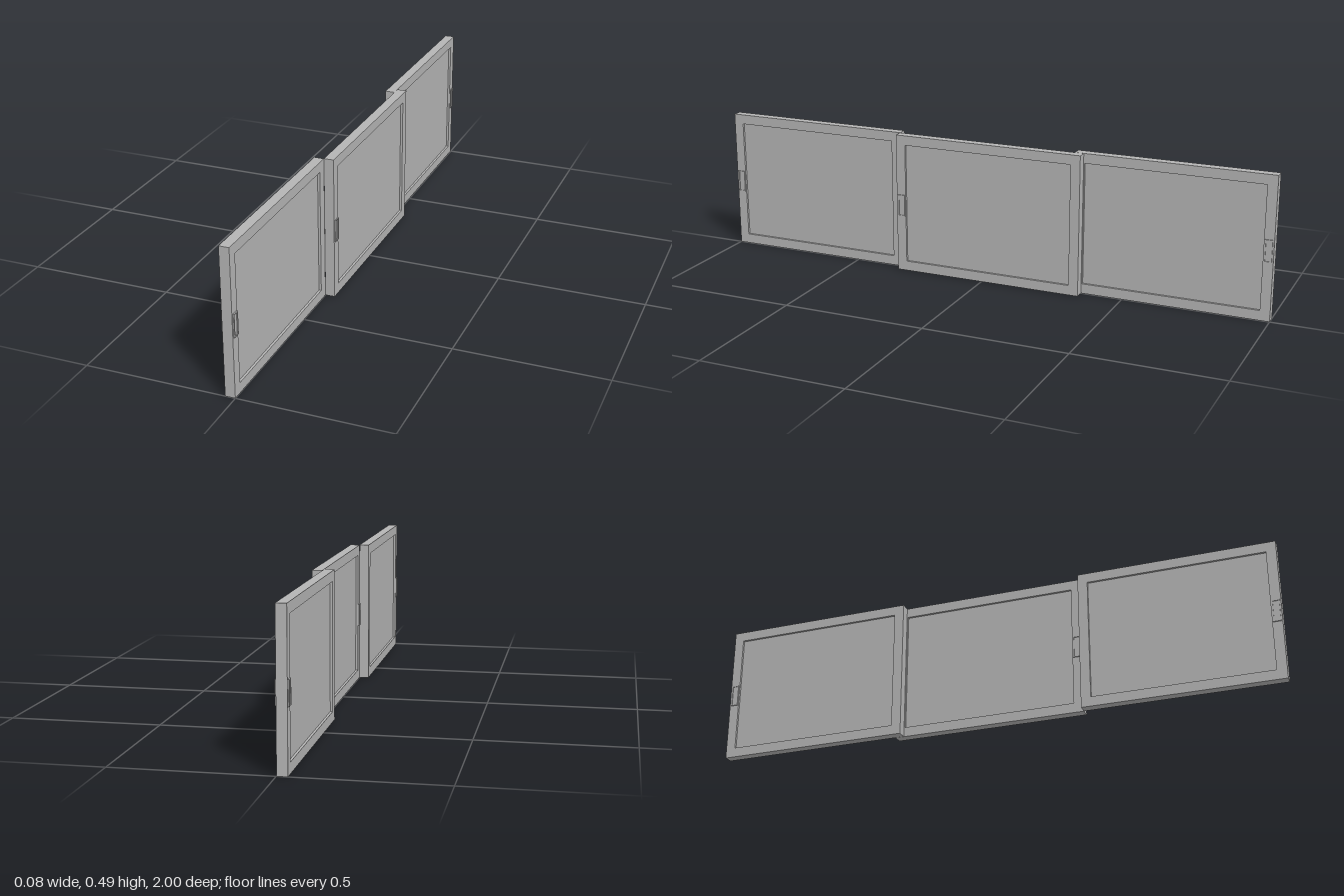
import * as THREE from 'three';

const grey = new THREE.MeshStandardMaterial({ color: 0xb4b4b4 });
grey.name = 'grey';

const HEIGHT = 0.491, LENGTH = 0.677, THICK = 0.033;
const BORDER = 0.034, RECESS = 0.008;

// Rectangular ring in the z/y plane, extruded along x and centred on the origin
function ring(length, height, borderZ, borderY, depth) {
  const a = length / 2, b = height / 2;
  const c = a - borderZ, d = b - borderY;
  const shape = new THREE.Shape([[-a, -b], [a, -b], [a, b], [-a, b]].map(p => new THREE.Vector2(...p)));
  shape.holes.push(new THREE.Path([[-c, -d], [-c, d], [c, d], [c, -d]].map(p => new THREE.Vector2(...p))));
  const geometry = new THREE.ExtrudeGeometry(shape, { depth, bevelEnabled: false });
  return geometry.translate(0, 0, -depth / 2).rotateY(Math.PI / 2);
}

function addMesh(parent, name, geometry, x, y, z) {
  const mesh = new THREE.Mesh(geometry, grey);
  mesh.name = name;
  mesh.position.set(x, y, z);
  parent.add(mesh);
}

// One sliding door: frame, sunken panel and a pull on each face
function door(name, x, z, handleSide) {
  const group = new THREE.Group();
  group.name = name;
  group.position.set(x, HEIGHT / 2, z);
  addMesh(group, 'frame', ring(LENGTH, HEIGHT, BORDER, BORDER, THICK), 0, 0, 0);
  addMesh(group, 'panel',
    new THREE.BoxGeometry(THICK - 2 * RECESS, HEIGHT - 2 * BORDER, LENGTH - 2 * BORDER), 0, 0, 0);

  const handleZ = handleSide * (LENGTH / 2 - 0.018);
  for (const side of [1, -1]) {
    addMesh(group, 'handleRim', ring(0.026, 0.077, 0.004, 0.004, 0.004),
      side * (THICK / 2 + 0.002), -0.007, handleZ);
    addMesh(group, 'handlePlate', new THREE.BoxGeometry(0.001, 0.07, 0.019),
      side * (THICK / 2 + 0.0005), -0.007, handleZ);
  }
  return group;
}

export function createModel() {
  const model = new THREE.Group();
  model.name = 'slidingDoors';
  model.add(
    door('frontDoor', -THICK / 2, 1 - LENGTH / 2, 1),
    door('middleDoor', THICK / 2, -0.016, 1),
    door('backDoor', -THICK / 2 - 0.001, -1 + LENGTH / 2, -1),
  );
  return model;
}
